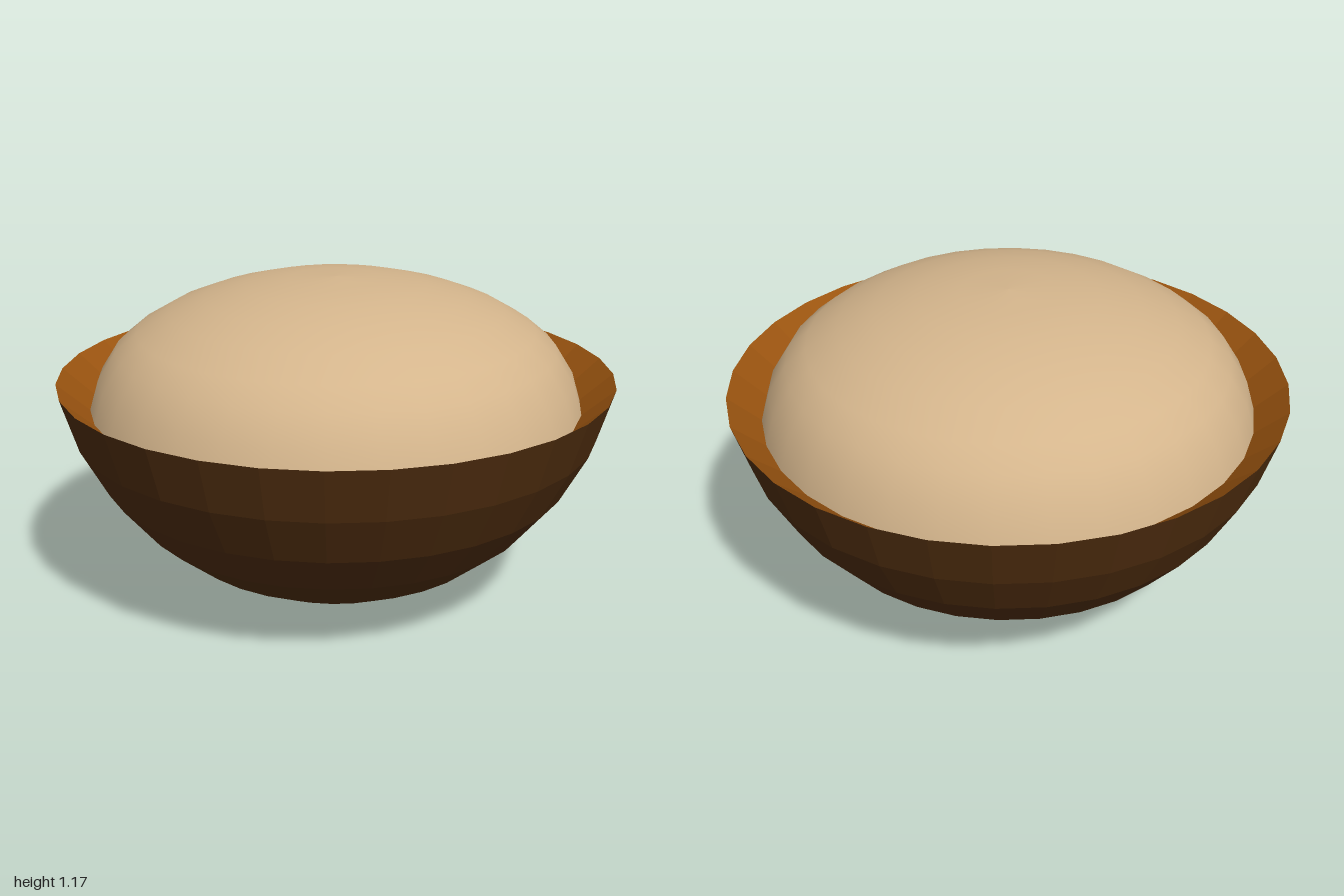
import * as THREE from 'three';

const SEGMENTS = 32;

const shellBrown = new THREE.MeshStandardMaterial({ color: 0x502e0f, flatShading: true });
shellBrown.name = 'dark brown';
const rimOrange = new THREE.MeshStandardMaterial({ color: 0x9c5510, flatShading: true });
rimOrange.name = 'orange brown';
const domeTan = new THREE.MeshStandardMaterial({ color: 0xd4b58c });
domeTan.name = 'tan';

// Turned part from [radius, height] pairs, listed so the faces look outward
function turned(name, profile, material) {
  const points = profile.map(([r, y]) => new THREE.Vector2(r, y));
  const mesh = new THREE.Mesh(new THREE.LatheGeometry(points, SEGMENTS), material);
  mesh.name = name;
  return mesh;
}

export function createModel() {
  const model = new THREE.Group();
  model.name = 'filledBowl';

  // Faceted shell: lower part of a sphere, seven rings of 11.25 degrees
  const radius = 1.0196;
  const shell = [];
  for (let i = 0; i <= 7; i++) {
    const a = (i * Math.PI) / 16;
    shell.push([radius * Math.sin(a), radius * (1 - Math.cos(a))]);
  }
  const [rimRadius, rimHeight] = shell[7];
  model.add(turned('bowlShell', shell, shellBrown));

  // Rim sloping inward to the filling
  model.add(turned('slopedRim', [[rimRadius, rimHeight], [0.885, 0.72]], rimOrange));

  // Smooth domed filling
  model.add(turned('domedFilling', [
    [0.885, 0.72], [0.853, 0.825], [0.788, 0.927], [0.712, 0.99], [0.598, 1.056],
    [0.47, 1.105], [0.325, 1.143], [0.17, 1.164], [0, 1.172],
  ], domeTan));

  return model;
}
